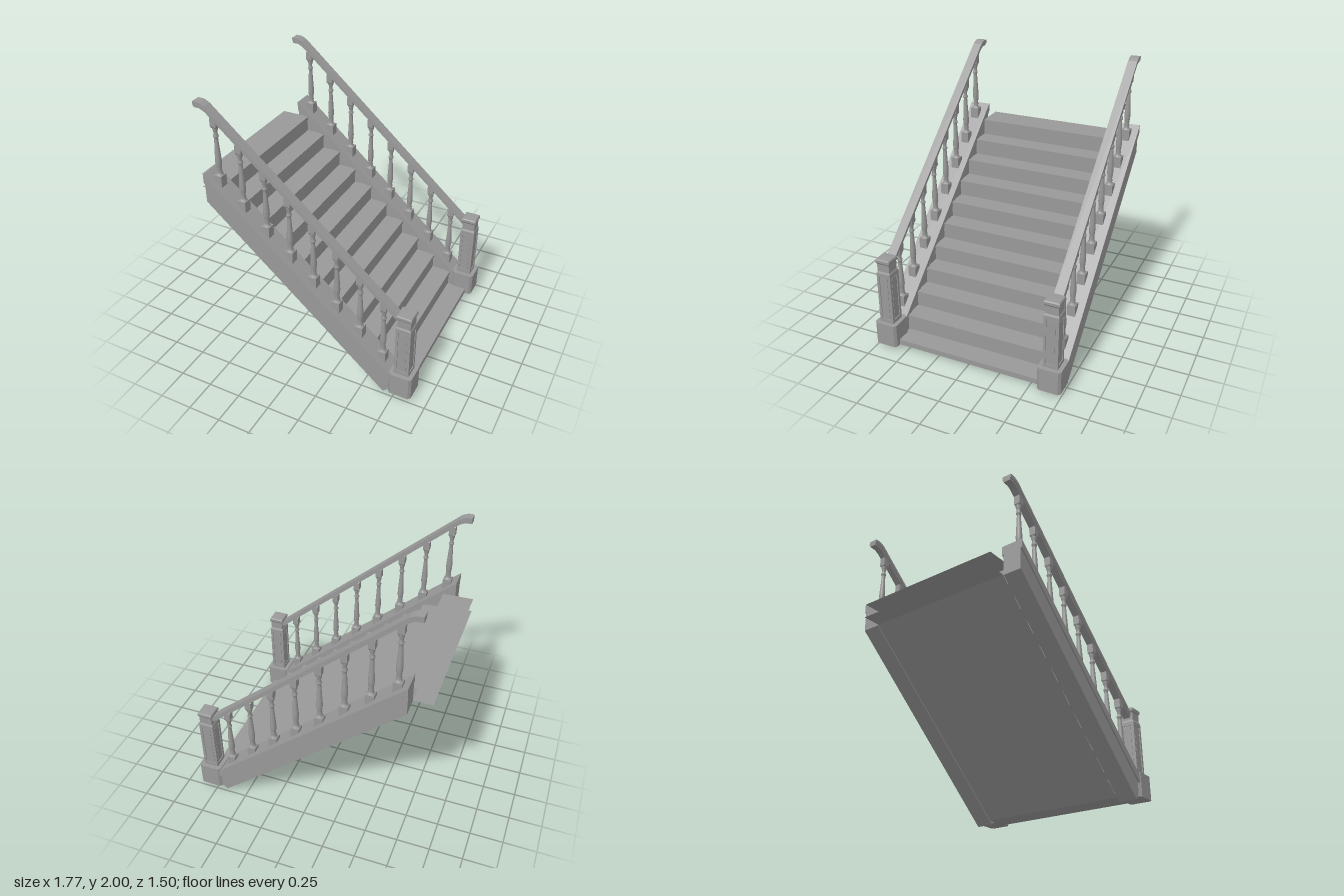
import * as THREE from 'three';

const SLOPE = 0.868;   // fall of the flight per unit of x
const SIDE_Z = 0.66;   // centre line of each balustrade
const GREY = 0x999999;
const mat = new THREE.MeshStandardMaterial({ color: GREY });
const flatMat = new THREE.MeshStandardMaterial({ color: GREY, flatShading: true });
const sheetMat = new THREE.MeshStandardMaterial({ color: GREY, side: THREE.DoubleSide });

const stringerTop = (x) => 0.2 + SLOPE * (0.71 - x);
const railTop = (x) => 0.716 + SLOPE * (0.74 - x);

function add(parent, name, geometry, x = 0, y = 0, z = 0, material = mat) {
  const mesh = new THREE.Mesh(geometry, material);
  mesh.name = name;
  mesh.position.set(x, y, z);
  parent.add(mesh);
}

const toShape = (pts) => new THREE.Shape(pts.map(([x, y]) => new THREE.Vector2(x, y)));

// Side outline in x/y, extruded to a given width and centred on z
function slab(pts, width) {
  return new THREE.ExtrudeGeometry(toShape(pts), { depth: width, bevelEnabled: false })
    .translate(0, 0, -width / 2);
}

// Square-plan form from [half width, height] pairs
function squareTurned(profile) {
  const pts = profile.map(([r, y]) => new THREE.Vector2(r * Math.SQRT2, y));
  return new THREE.LatheGeometry(pts, 4, Math.PI / 4);
}

// Sheet swept across z along an open outline, listed anticlockwise
function ribbon(outline, z0, z1) {
  const pos = [];
  for (let i = 0; i < outline.length - 1; i++) {
    const [px, py] = outline[i];
    const [qx, qy] = outline[i + 1];
    pos.push(px, py, z1, px, py, z0, qx, qy, z0);
    pos.push(px, py, z1, qx, qy, z0, qx, qy, z1);
  }
  const g = new THREE.BufferGeometry();
  g.setAttribute('position', new THREE.Float32BufferAttribute(pos, 3));
  g.computeVertexNormals();
  return g;
}

// Soffit, then treads and risers from the bottom up, open at the landing
function makeSteps() {
  const outline = [[-0.89, 1.245], [-0.75, 1.245], [0.64, 0.028], [0.834, 0.028], [0.834, 0.07]];
  const count = 11, run = 0.149, rise = 0.1283, nose = 0.008;
  for (let i = 1; i < count; i++) {
    const x = 0.834 - i * run, y = 0.07 + i * rise;
    outline.push([x - nose, y - rise], [x - nose, y - 0.026], [x, y - 0.026], [x, y]);
  }
  outline.push([-0.89, 0.07 + (count - 1) * rise]);
  return ribbon(outline, -0.585, 0.585);
}

function makeStringer() {
  const g = new THREE.Group();
  g.name = 'stringer';
  const x0 = -0.75, x1 = 0.73, band = 0.065;
  add(g, 'stringerBoard', slab([
    [x0, 1.24], [0.667, 0], [0.705, 0.04], [x1, 0.05],
    [x1, stringerTop(x1) - band], [x0, stringerTop(x0) - band],
  ], 0.14));
  add(g, 'stringerCap', slab([
    [x0, stringerTop(x0) - band], [x1, stringerTop(x1) - band],
    [x1, stringerTop(x1)], [x0, stringerTop(x0)],
  ], 0.165));
  return g;
}

function makeHandrail() {
  const g = new THREE.Group();
  g.name = 'handrail';
  const path = [[-0.805, 2], [-0.762, 2], [-0.742, 1.993], [-0.715, railTop(-0.715)],
    [0.76, railTop(0.76)]];
  // Each layer lies between two depths below the top line
  const layer = (from, to, width) => slab([
    ...path.map(([x, y]) => [x, y - to]),
    ...path.slice().reverse().map(([x, y]) => [x, y - from]),
  ], width);
  add(g, 'railTop', layer(0, 0.03, 0.072));
  add(g, 'railUnderside', layer(0.03, 0.047, 0.056));
  return g;
}

const balusterProfile = [
  [0.031, 0.055], [0.024, 0.067], [0.017, 0.078], [0.021, 0.09], [0.017, 0.102],
  [0.021, 0.13], [0.024, 0.16], [0.022, 0.2], [0.018, 0.27], [0.0145, 0.335],
  [0.014, 0.35], [0.02, 0.358], [0.02, 0.368], [0.014, 0.376], [0.015, 0.4],
  [0.021, 0.415], [0.021, 0.436],
].map(([r, y]) => new THREE.Vector2(r, y));

function makeBaluster() {
  const g = new THREE.Group();
  g.name = 'baluster';
  add(g, 'balusterFoot', new THREE.BoxGeometry(0.064, 0.1, 0.064), 0, 0.008, 0);
  add(g, 'balusterTurning', new THREE.LatheGeometry(balusterProfile, 12));
  add(g, 'balusterHead', squareTurned([[0.016, 0.424], [0.024, 0.438], [0.024, 0.505]]), 0, 0, 0, flatMat);
  return g;
}

function makeNewel() {
  const g = new THREE.Group();
  g.name = 'newelPost';
  // Base block with clipped corners
  const h = 0.089, c = 0.018;
  const plan = [[h, -h + c], [h, h - c], [h - c, h], [-h + c, h],
    [-h, h - c], [-h, -h + c], [-h + c, -h], [h - c, -h]];
  const base = new THREE.ExtrudeGeometry(toShape(plan), { depth: 0.184, bevelEnabled: false });
  add(g, 'newelBase', base.rotateX(-Math.PI / 2), 0, 0.028, 0);

  // Shaft core, neck and cap
  add(g, 'newelShaft', squareTurned([
    [0.051, 0.21], [0.051, 0.62], [0.057, 0.62], [0.057, 0.63], [0.05, 0.645], [0.05, 0.705],
    [0.058, 0.718], [0.058, 0.737], [0.053, 0.745], [0, 0.747],
  ]), 0, 0, 0, flatMat);

  // Frame and raised field on every face
  const frame = toShape([[-0.057, 0.21], [0.057, 0.21], [0.057, 0.63], [-0.057, 0.63]]);
  frame.holes.push(new THREE.Path([[-0.037, 0.24], [-0.037, 0.6], [0.037, 0.6], [0.037, 0.24]]
    .map(([x, y]) => new THREE.Vector2(x, y))));
  const frameGeo = new THREE.ExtrudeGeometry(frame, { depth: 0.006, bevelEnabled: false });
  for (let i = 0; i < 4; i++) {
    const face = new THREE.Group();
    face.name = 'newelFace';
    face.rotation.y = i * Math.PI / 2;
    add(face, 'panelFrame', frameGeo, 0, 0, 0.051);
    add(face, 'panelField', new THREE.BoxGeometry(0.058, 0.34, 0.008), 0, 0.42, 0.05);
    g.add(face);
  }
  return g;
}

function makeBalustrade() {
  const g = new THREE.Group();
  g.name = 'balustrade';
  g.add(makeStringer(), makeHandrail());
  for (let i = 0; i < 8; i++) {
    const x = -0.665 + i * 0.1843;
    const baluster = makeBaluster();
    baluster.position.set(x, stringerTop(x), 0);
    g.add(baluster);
  }
  const newel = makeNewel();
  newel.position.x = 0.796;
  g.add(newel);
  return g;
}

export function createModel() {
  const model = new THREE.Group();
  model.name = 'staircase';
  add(model, 'steps', makeSteps(), 0, 0, 0, sheetMat);
  for (const side of [-1, 1]) {
    const balustrade = makeBalustrade();
    balustrade.position.z = side * SIDE_Z;
    model.add(balustrade);
  }
  return model;
}
